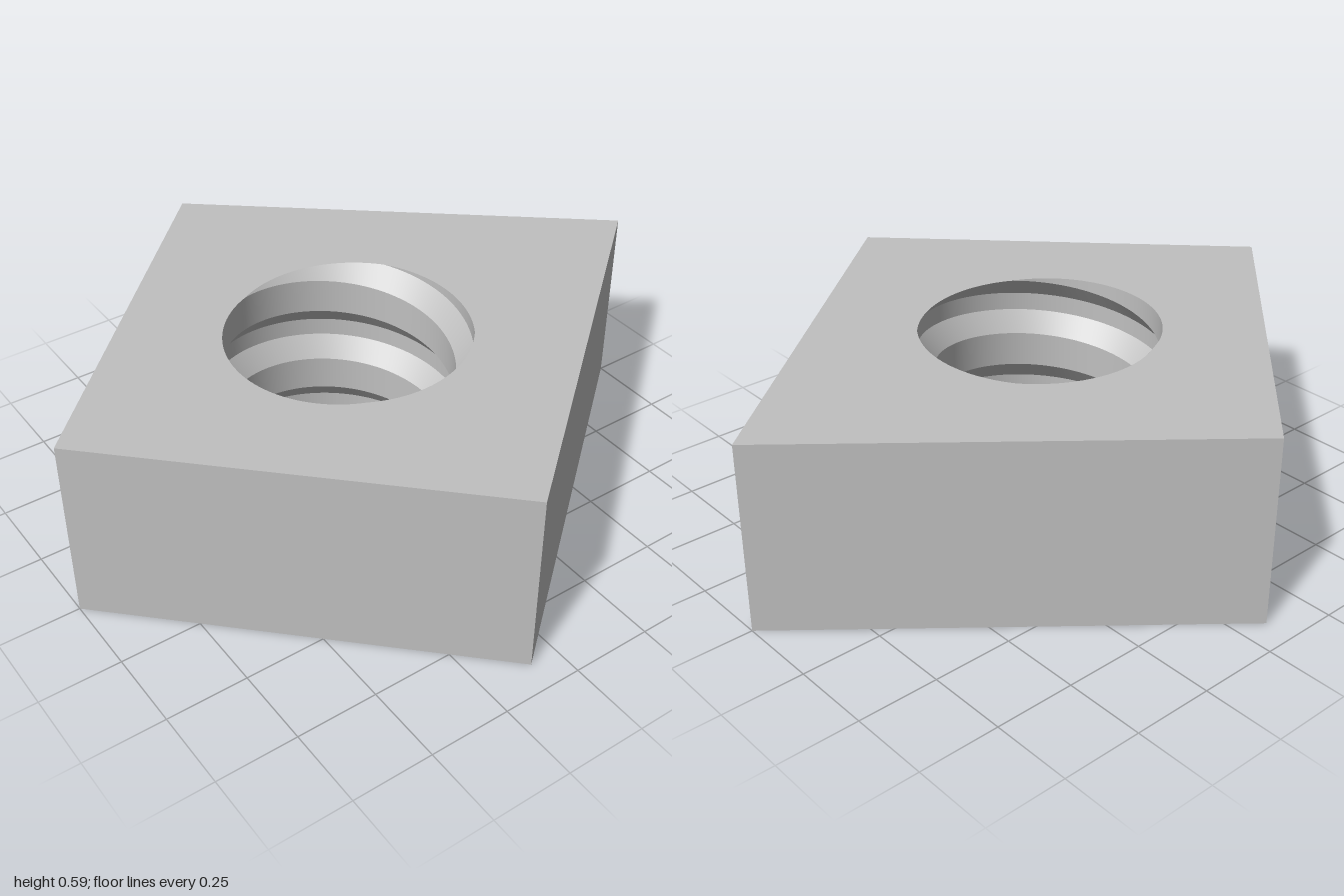
import * as THREE from 'three';

const H = 0.59;             // thickness
const PITCH = H / 2;        // two full turns of thread
const CX = -0.09;           // hole centre
const R_CREST = 0.34, R_ROOT = 0.39;
const N = 144;              // columns around the hole

// Thread profile over one pitch: [height as a fraction of the pitch, radius]
const ROOT = 35 / 360, EDGE = 112 / 360;
const PROFILE = [
  [-EDGE, R_CREST], [-ROOT, R_ROOT], [ROOT, R_ROOT], [EDGE, R_CREST], [1 - EDGE, R_CREST],
];
const CORNERS = [[1, 0], [CX, 0.91], [-1, 0], [CX, -0.91]];

// Hole radius on the end faces at angle phi
function rimRadius(phi) {
  const u = Math.abs(phi > Math.PI ? phi - 2 * Math.PI : phi) / (2 * Math.PI);
  const t = THREE.MathUtils.clamp((u - ROOT) / (EDGE - ROOT), 0, 1);
  return THREE.MathUtils.lerp(R_ROOT, R_CREST, t);
}

// End face: kite outline with the threaded hole
function faceGeometry() {
  const shape = new THREE.Shape(CORNERS.map(([x, y]) => new THREE.Vector2(x, y)));
  const rim = [];
  for (let i = 0; i < N; i++) {
    const phi = (i / N) * 2 * Math.PI, r = rimRadius(phi);
    rim.push(new THREE.Vector2(CX + r * Math.cos(phi), r * Math.sin(phi)));
  }
  shape.holes.push(new THREE.Path(rim.reverse()));
  return new THREE.ShapeGeometry(shape);
}

function buildGeometry(pos, nor, idx) {
  const g = new THREE.BufferGeometry();
  g.setAttribute('position', new THREE.Float32BufferAttribute(pos, 3));
  g.setAttribute('normal', new THREE.Float32BufferAttribute(nor, 3));
  g.setIndex(idx);
  return g;
}

// Four flat outer walls
function wallGeometry() {
  const pos = [], nor = [], idx = [];
  CORNERS.forEach(([px, py], i) => {
    const [qx, qy] = CORNERS[(i + 1) % 4], b = i * 4;
    const n = new THREE.Vector3(qy - py, 0, qx - px).normalize();
    pos.push(px, 0, -py, qx, 0, -qy, qx, H, -qy, px, H, -py);
    for (let k = 0; k < 4; k++) nor.push(n.x, n.y, n.z);
    idx.push(b, b + 1, b + 2, b, b + 2, b + 3);
  });
  return buildGeometry(pos, nor, idx);
}

// One helical band of the thread, trimmed at both end faces
function bandGeometry([u0, r0], [u1, r1]) {
  const pos = [], nor = [], idx = [];
  const slope = (r1 - r0) / ((u1 - u0) * PITCH);
  for (let turn = -2; turn <= 2; turn++) {
    const start = pos.length / 3;
    const inside = [];
    for (let i = 0; i <= N; i++) {
      const phi = (i / N) * 2 * Math.PI, c = Math.cos(phi), s = Math.sin(phi);
      const base = PITCH * (turn + i / N);
      const lo = base + u0 * PITCH, hi = base + u1 * PITCH;
      inside.push(hi > 0 && lo < H);
      for (const end of [lo, hi]) {
        const y = THREE.MathUtils.clamp(end, 0, H);
        const t = THREE.MathUtils.clamp((y - lo) / (hi - lo), 0, 1);
        const r = r0 + (r1 - r0) * t;
        pos.push(CX + r * c, y, -r * s);
        const k = -slope * PITCH / (2 * Math.PI * r);
        const n = new THREE.Vector3(-c - k * s, slope, s - k * c).normalize();
        nor.push(n.x, n.y, n.z);
      }
    }
    for (let i = 0; i < N; i++) {
      if (!inside[i] && !inside[i + 1]) continue;
      const a = start + i * 2;
      idx.push(a, a + 1, a + 3, a, a + 3, a + 2);
    }
  }
  return buildGeometry(pos, nor, idx);
}

export function createModel() {
  const model = new THREE.Group();
  model.name = 'threadedNut';
  const steel = new THREE.MeshStandardMaterial({ color: 0xc0c0c0 });
  steel.name = 'steel grey';
  const add = (parent, name, geometry) => {
    const mesh = new THREE.Mesh(geometry, steel);
    mesh.name = name;
    parent.add(mesh);
  };

  add(model, 'topFace', faceGeometry().rotateX(-Math.PI / 2).translate(0, H, 0));
  add(model, 'bottomFace', faceGeometry().rotateX(Math.PI / 2));
  add(model, 'outerWalls', wallGeometry());

  const thread = new THREE.Group();
  thread.name = 'thread';
  ['lowerFlank', 'root', 'upperFlank', 'crest'].forEach((name, i) =>
    add(thread, name, bandGeometry(PROFILE[i], PROFILE[i + 1])));
  model.add(thread);
  return model;
}
